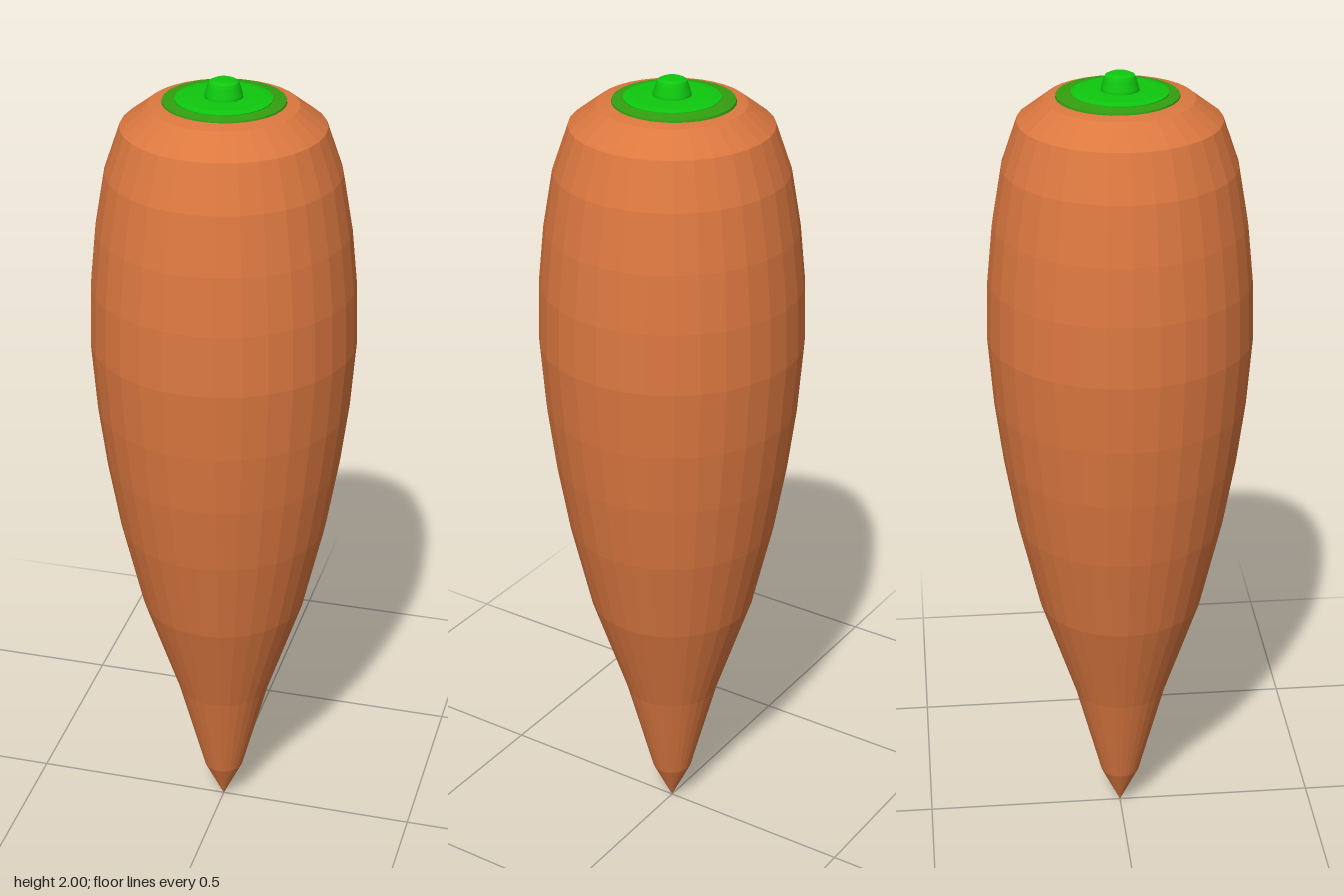
import * as THREE from 'three';

// Faceted solid of revolution from [radius, height] pairs, bottom to top
function turned(name, profile, sides, material) {
  const points = profile.map(([r, y]) => new THREE.Vector2(r, y));
  const geometry = new THREE.LatheGeometry(points, sides).toNonIndexed();
  geometry.computeVertexNormals();
  const mesh = new THREE.Mesh(geometry, material);
  mesh.name = name;
  return mesh;
}

export function createModel() {
  const orange = new THREE.MeshStandardMaterial({ color: 0xdc7840 });
  orange.name = 'carrot orange';
  const green = new THREE.MeshStandardMaterial({ color: 0x0fc80f });
  green.name = 'leaf green';
  const darkGreen = new THREE.MeshStandardMaterial({ color: 0x339f10 });
  darkGreen.name = 'dark green';

  const model = new THREE.Group();
  model.name = 'carrot';

  // Tapered root with a rounded shoulder
  model.add(turned('root', [
    [0, 0], [0.05, 0.105], [0.117, 0.36], [0.205, 0.625], [0.257, 0.85],
    [0.287, 1.025], [0.307, 1.18], [0.32, 1.35], [0.316, 1.5], [0.302, 1.64],
    [0.278, 1.78], [0.24, 1.89], [0.175, 1.94], [0.11, 1.951], [0, 1.952],
  ], 32, orange));

  // Dark rim where the crown fades into the root, slightly off centre
  const rim = turned('crownRim', [[0.145, 1.942], [0.143, 1.95], [0.105, 1.955]], 32, darkGreen);
  rim.position.z = -0.005;
  model.add(rim);

  // Flat crown
  model.add(turned('crown', [[0.113, 1.95], [0.113, 1.956], [0.095, 1.959], [0, 1.96]], 32, green));

  // Stubby stem with a bevelled top
  model.add(turned('stem', [
    [0.045, 1.955], [0.044, 1.965], [0.037, 1.988], [0.034, 1.995], [0.024, 2], [0, 2],
  ], 32, green));

  return model;
}
